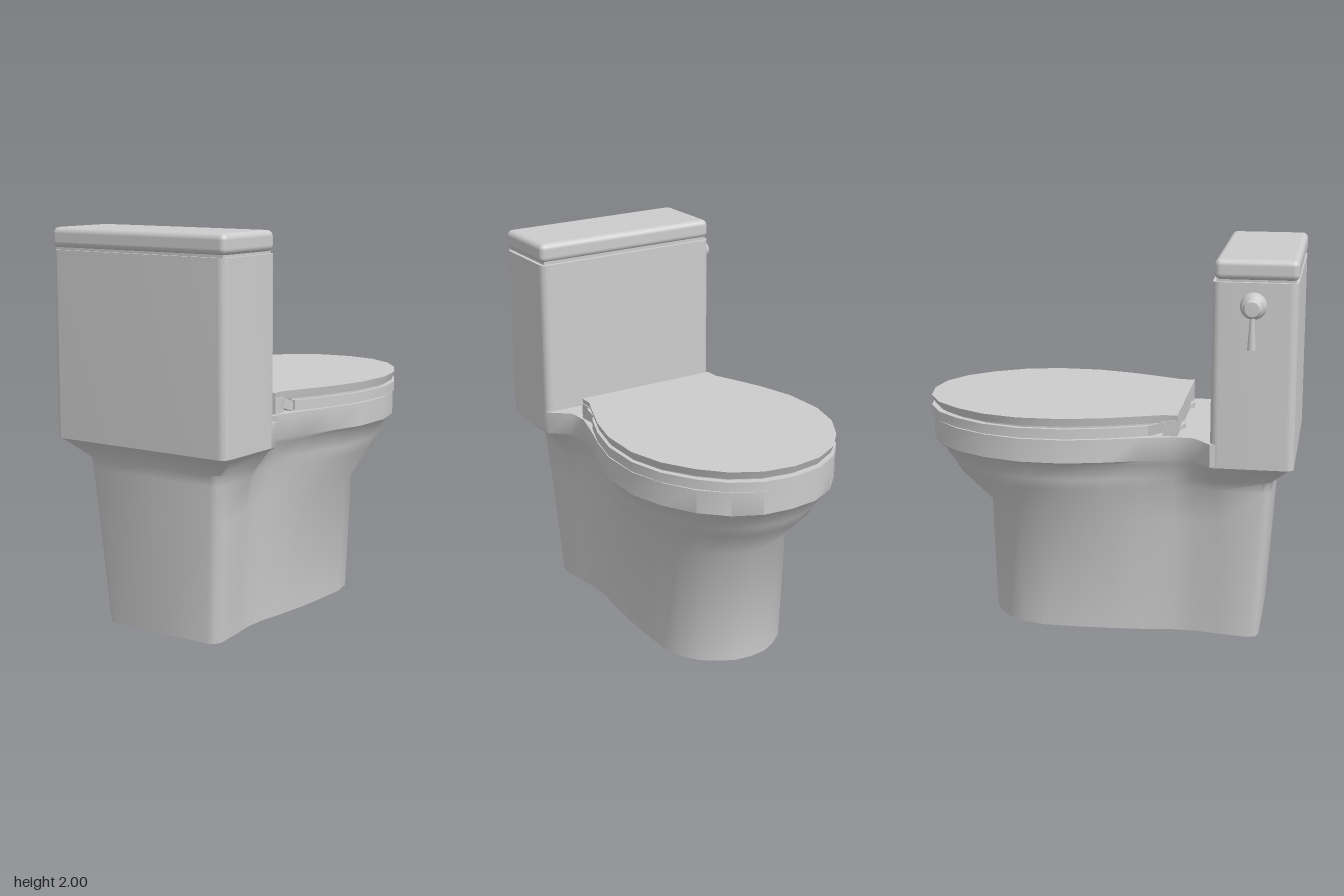
import * as THREE from 'three';
import { toCreasedNormals } from 'three/addons/utils/BufferGeometryUtils.js';
import { RoundedBoxGeometry } from 'three/addons/geometries/RoundedBoxGeometry.js';

const CX = 0.03; // centre line of the body, the flush handle sticks out on one side

// Closed solid through mirrored sections. Each section: { y, pts: [z, halfWidth] from back to front }
function loft(sections) {
  const n = sections[0].pts.length;
  const pos = [], idx = [];
  for (const { y, pts } of sections) {
    for (const [z, w] of pts) pos.push(w, y, z);
    for (let i = n - 2; i > 0; i--) pos.push(-pts[i][1], y, pts[i][0]);
  }
  const ring = 2 * n - 2;
  for (let s = 0; s < sections.length - 1; s++) {
    for (let j = 0; j < ring; j++) {
      const a = s * ring + j, b = s * ring + (j + 1) % ring;
      idx.push(a, b, b + ring, a, b + ring, a + ring);
    }
  }
  // caps as strips between the mirrored halves
  const top = (sections.length - 1) * ring;
  for (let i = 0; i < n - 1; i++) {
    const r0 = i, r1 = i + 1, l0 = (ring - i) % ring, l1 = ring - i - 1;
    for (const [a, b, c] of [[r0, r1, l1], [r0, l1, l0]]) {
      if (a === b || b === c || a === c) continue;
      idx.push(top + a, top + b, top + c, a, c, b);
    }
  }
  const g = new THREE.BufferGeometry();
  g.setAttribute('position', new THREE.Float32BufferAttribute(pos, 3));
  g.setIndex(idx);
  return toCreasedNormals(g, 0.9);
}

// Rounded square back followed by the side points
const withBack = (zb, wb, side) =>
  [[zb, 0], [zb, wb - 0.05], [zb - 0.015, wb - 0.015], [zb - 0.05, wb], ...side];

const mix = (a, b, t) => a.map(([z, w], i) => [z + (b[i][0] - z) * t, w + (b[i][1] - w) * t]);

// Side outlines from the tank forward to the tip of the bowl
const FOOT = [[0.6, 0.32], [0.48, 0.3], [0.36, 0.3], [0.2, 0.32], [0.03, 0.335], [-0.15, 0.34],
  [-0.32, 0.34], [-0.44, 0.31], [-0.53, 0.25], [-0.59, 0.17], [-0.63, 0.09], [-0.64, 0]];
const WAIST = [[0.6, 0.365], [0.48, 0.33], [0.36, 0.33], [0.2, 0.35], [0.03, 0.37], [-0.15, 0.38],
  [-0.33, 0.37], [-0.46, 0.33], [-0.55, 0.265], [-0.61, 0.18], [-0.65, 0.09], [-0.66, 0]];
const BOWL = [[0.58, 0.385], [0.48, 0.35], [0.36, 0.355], [0.2, 0.4], [0.03, 0.45], [-0.16, 0.485],
  [-0.36, 0.48], [-0.53, 0.43], [-0.67, 0.35], [-0.77, 0.24], [-0.83, 0.12], [-0.845, 0]];
const UNDER_RIM = [[0.56, 0.48], [0.47, 0.4], [0.36, 0.395], [0.2, 0.43], [0.03, 0.475], [-0.17, 0.52],
  [-0.4, 0.52], [-0.58, 0.47], [-0.73, 0.39], [-0.85, 0.27], [-0.9, 0.14], [-0.915, 0]];
const RIM = [[0.56, 0.52], [0.47, 0.415], [0.36, 0.41], [0.2, 0.455], [0.03, 0.51], [-0.17, 0.56],
  [-0.4, 0.56], [-0.59, 0.505], [-0.75, 0.415], [-0.87, 0.295], [-0.94, 0.155], [-0.957, 0]];
const LID = [[0.385, 0], [0.385, 0.4], [0.31, 0.4], [0.2, 0.445], [0.03, 0.51], [-0.17, 0.56],
  [-0.4, 0.565], [-0.59, 0.515], [-0.75, 0.42], [-0.87, 0.31], [-0.95, 0.165], [-0.975, 0]];

export function createModel() {
  const group = new THREE.Group();
  const ceramic = new THREE.MeshStandardMaterial({ color: 0xcccccc });
  ceramic.name = 'ceramic';
  const add = (name, geometry, x = CX, y = 0, z = 0) => {
    const m = new THREE.Mesh(geometry, ceramic);
    m.name = name;
    m.position.set(x, y, z);
    group.add(m);
    return m;
  };

  // Pedestal, bowl and rear deck in one body
  add('bowlAndPedestal', loft([
    { y: 0, pts: withBack(0.81, 0.34, FOOT) },
    { y: 0.62, pts: withBack(0.85, 0.385, WAIST) },
    { y: 0.8, pts: withBack(0.862, 0.4, BOWL) },
    { y: 0.855, pts: withBack(0.867, 0.405, mix(BOWL, UNDER_RIM, 0.4)) },
    { y: 0.935, pts: withBack(0.945, 0.49, UNDER_RIM) },
    { y: 0.96, pts: withBack(0.973, 0.518, RIM) },
    { y: 1.08, pts: withBack(0.9, 0.5, RIM) },
  ]));

  // Seat and cover
  const seat = [[0.24, 0], [0.24, 0.42], ...LID.slice(3)];
  const inset = (pts, k) => pts.map(([z, w]) => [z > 0.2 ? z : z * k, w * k]);
  add('seat', loft([{ y: 1.087, pts: seat }, { y: 1.137, pts: seat }]));
  add('seatSpacer', loft([{ y: 1.07, pts: inset(seat, 0.96) }, { y: 1.16, pts: inset(seat, 0.96) }]));
  add('cover', loft([{ y: 1.148, pts: inset(LID, 0.98) }, { y: 1.19, pts: LID }]));

  // Hinge block with sloping arms and two small hinge caps
  add('hingeBlock', new THREE.BoxGeometry(0.8, 0.08, 0.075), CX, 1.122, 0.3475);
  for (const s of [-1, 1]) {
    const arm = add('hingeArm', new THREE.BoxGeometry(0.05, 0.05, 0.1), CX + s * 0.385, 1.118, 0.28);
    arm.rotation.x = -0.3;
    add('hingeCap', new THREE.CylinderGeometry(0.05, 0.05, 0.025, 8), CX + s * 0.22, 1.0925, 0.358);
  }

  // Tank with rounded upright corners
  const hw = 0.52, hd = 0.208, r = 0.04;
  const outline = new THREE.Shape();
  outline.absarc(hw - r, hd - r, r, 0, Math.PI / 2);
  outline.absarc(r - hw, hd - r, r, Math.PI / 2, Math.PI);
  outline.absarc(r - hw, r - hd, r, Math.PI, Math.PI * 1.5);
  outline.absarc(hw - r, r - hd, r, Math.PI * 1.5, Math.PI * 2);
  const tank = new THREE.ExtrudeGeometry(outline, { depth: 0.93, bevelEnabled: false, curveSegments: 6 });
  tank.rotateX(-Math.PI / 2);
  add('tank', toCreasedNormals(tank, 0.6), CX, 0.96, 0.766);
  add('tankGap', new THREE.BoxGeometry(1.0, 0.04, 0.38), CX, 1.895, 0.768);
  add('tankLid', new RoundedBoxGeometry(1.04, 0.1, 0.408, 4, 0.03), CX, 1.95, 0.771);

  // Flush handle on the tank side
  const knob = [[0, 0], [0.065, 0], [0.065, 0.02], [0.055, 0.045], [0.035, 0.055], [0.035, 0.065],
    [0.046, 0.07], [0.046, 0.095], [0.036, 0.11], [0, 0.112]].map(([a, b]) => new THREE.Vector2(a, b));
  const knobGeo = toCreasedNormals(new THREE.LatheGeometry(knob, 20), 0.6);
  add('flushKnob', knobGeo, -0.488, 1.78, 0.76).rotation.z = Math.PI / 2;
  add('flushLever', new THREE.CylinderGeometry(0.01, 0.021, 0.18, 12), -0.57, 1.67, 0.76);

  return group;
}
